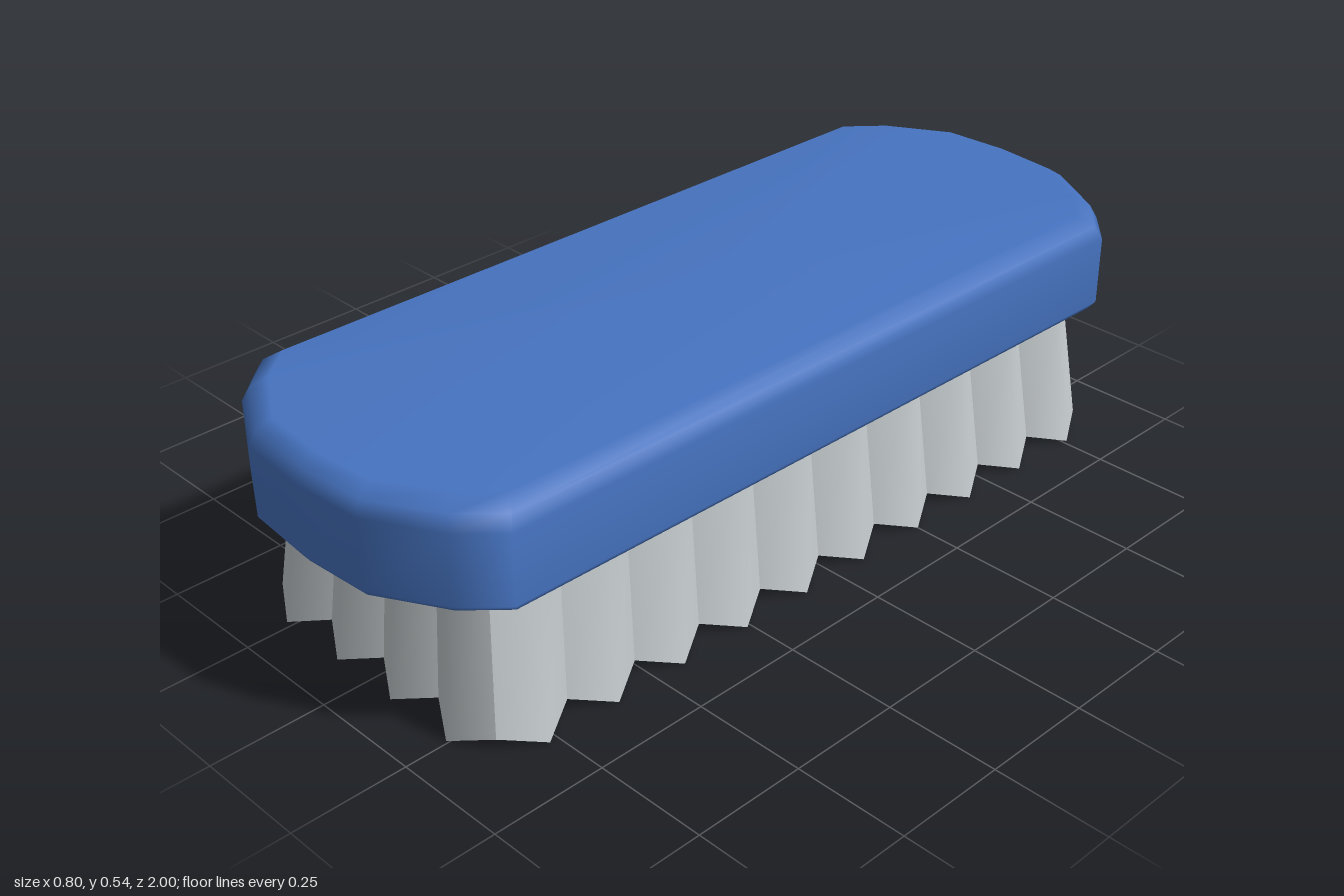
import * as THREE from 'three';

const HX = 0.388, HZ = 1.0;

function geometryFrom(pos, idx) {
  const g = new THREE.BufferGeometry();
  g.setAttribute('position', new THREE.Float32BufferAttribute(pos, 3));
  g.setIndex(idx);
  g.computeVertexNormals();
  return g;
}

// Smooth block with rounded ends: the outline stacked in inset rings, capped top and bottom
function handleGeometry() {
  const quarter = [[HX, 0.825], [0.313, 0.905], [0.163, 0.988]];
  const front = [...quarter, [0, HZ], ...quarter.map(([x, z]) => [-x, z]).reverse()];
  const outline = [...front, ...front.map(([x, z]) => [-x, -z])];
  const rings = [[0.307, 0.026], [0.315, 0.013], [0.333, 0], [0.485, 0], [0.515, 0.014], [0.537, 0.045]];
  const n = outline.length, pos = [], idx = [];
  for (const [y, inset] of rings) {
    for (const [x, z] of outline) pos.push(x * (HX - inset) / HX, y, z * (HZ - inset) / HZ);
  }
  const last = (rings.length - 1) * n, low = rings.length * n, high = low + 1;
  pos.push(0, 0.307, 0, 0, 0.537, 0);
  for (let i = 0; i < n; i++) {
    const k = (i + 1) % n;
    for (let j = 0; j < rings.length - 1; j++) {
      const a = j * n + i, b = j * n + k;
      idx.push(a, a + n, b, b, a + n, b + n);
    }
    idx.push(low, i, k, high, last + k, last + i);
  }
  return geometryFrom(pos, idx);
}

// Flared open skirt of lobes: each lobe is creased at its sides and smooth at its crest
function bristleGeometry() {
  const levels = [
    { hx: 0.34, hz: 0.85, bulge: 0.05, crease: 0.025, crest: 0 },
    { hx: 0.305, hz: 0.82, bulge: 0.04, crease: 0.312, crest: 0.312 },
  ];
  const corners = [[1, -1], [1, 1], [-1, 1], [-1, -1]];
  const normals = [[1, 0], [0, 1], [-1, 0], [0, -1]];
  const pos = [], idx = [];
  for (let s = 0; s < 4; s++) {
    const [ax, az] = corners[s], [bx, bz] = corners[(s + 1) % 4], [nx, nz] = normals[s];
    const count = s % 2 ? 4 : 10;
    for (let i = 0; i < count; i++) {
      const base = pos.length / 3;
      for (const L of levels) {
        for (let c = 0; c < 3; c++) {
          const t = (i + c / 2) / count, out = c === 1 ? L.bulge : 0;
          pos.push(
            (ax + (bx - ax) * t) * L.hx + nx * out,
            c === 1 ? L.crest : L.crease,
            (az + (bz - az) * t) * L.hz + nz * out);
        }
      }
      for (let c = 0; c < 2; c++) {
        const a = base + c;
        idx.push(a, a + 3, a + 1, a + 1, a + 3, a + 4);
      }
    }
  }
  return geometryFrom(pos, idx);
}

export function createModel() {
  const blue = new THREE.MeshStandardMaterial({ color: 0x4673c0 });
  blue.name = 'blue';
  const grey = new THREE.MeshStandardMaterial({ color: 0xc4cacd, side: THREE.DoubleSide });
  grey.name = 'pale grey';

  const handle = new THREE.Mesh(handleGeometry(), blue);
  handle.name = 'handle';
  const bristles = new THREE.Mesh(bristleGeometry(), grey);
  bristles.name = 'bristles';

  // The brush sits very slightly askew
  const brush = new THREE.Group();
  brush.name = 'brush';
  brush.add(handle, bristles);
  brush.rotation.y = -0.012;

  const model = new THREE.Group();
  model.name = 'scrubbingBrush';
  model.add(brush);
  return model;
}
